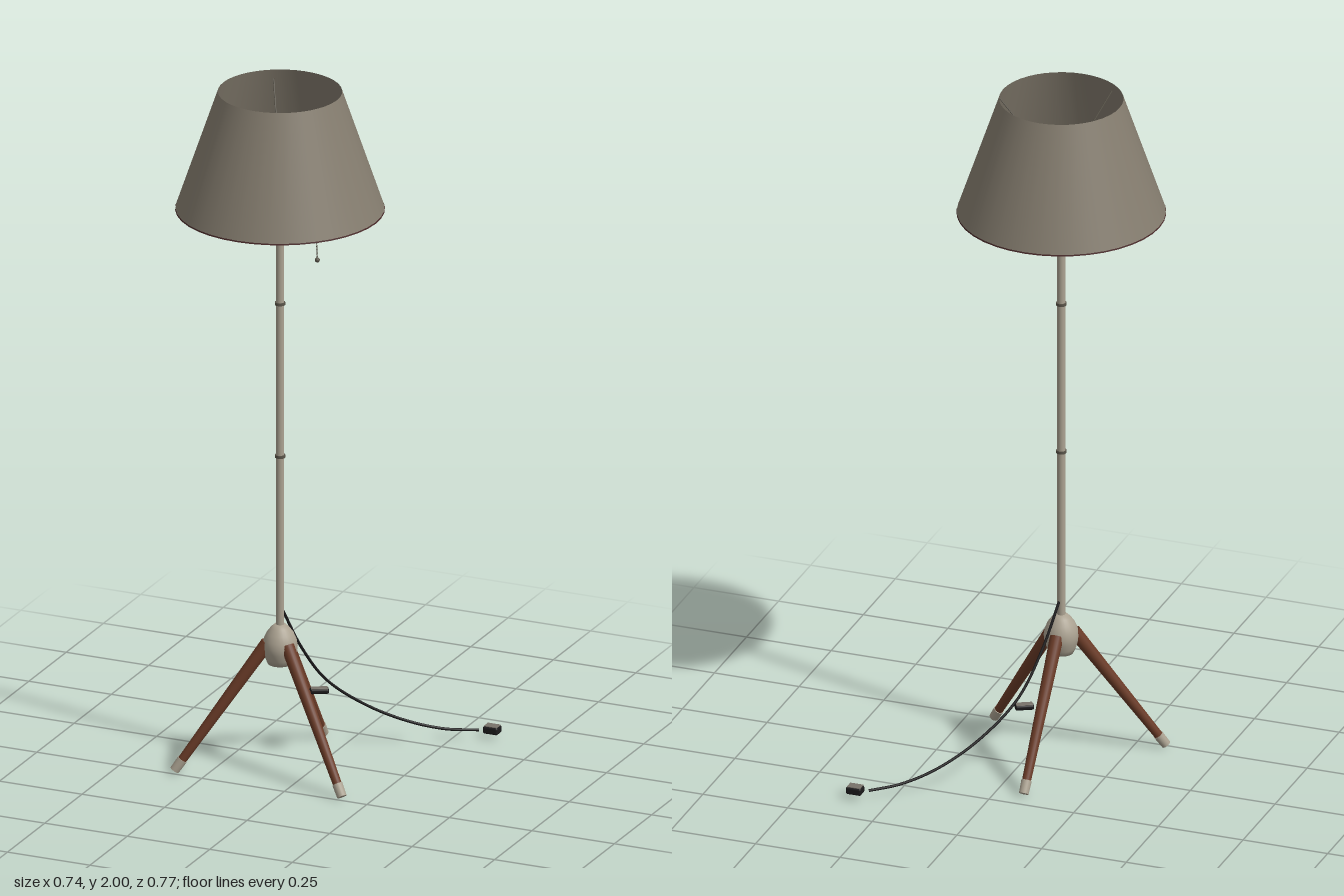
import * as THREE from 'three';
import { RoundedBoxGeometry } from 'three/addons/geometries/RoundedBoxGeometry.js';

const mat = (name, color, side = THREE.FrontSide) => {
  const m = new THREE.MeshStandardMaterial({ color, side });
  m.name = name;
  return m;
};

export function createModel() {
  const fabric = mat('shade fabric', 0x857d6f, THREE.DoubleSide);
  const metal = mat('pale metal', 0xaba291);
  const wood = mat('brown wood', 0x6a3b27);
  const black = mat('black plastic', 0x1b1a1b);
  const red = mat('bulb red', 0x95453f);
  const trim = mat('shade trim', 0x4a2a2a, THREE.DoubleSide);
  const dark = mat('dark metal', 0x5a554a);
  const grey = mat('grey plastic', 0x78736a);

  const model = new THREE.Group();
  model.name = 'floorLamp';
  const lamp = new THREE.Group();
  lamp.name = 'lamp';
  lamp.position.set(-0.083, 0, 0.095);
  model.add(lamp);

  const V = (x, y, z) => new THREE.Vector3(x, y, z);
  const add = (parent, name, geometry, material, x = 0, y = 0, z = 0) => {
    const mesh = new THREE.Mesh(geometry, material);
    mesh.name = name;
    mesh.position.set(x, y, z);
    parent.add(mesh);
    return mesh;
  };
  // Round bar from point a to point b, with a radius at each end
  const bar = (parent, name, a, b, ra, rb, material, sides = 20) => {
    const dir = b.clone().sub(a);
    const mesh = add(parent, name, new THREE.CylinderGeometry(rb, ra, dir.length(), sides), material);
    mesh.position.copy(a).addScaledVector(dir, 0.5);
    mesh.quaternion.setFromUnitVectors(V(0, 1, 0), dir.normalize());
    return mesh;
  };
  const lathe = (points, sides) =>
    new THREE.LatheGeometry(points.map(([r, y]) => new THREE.Vector2(r, y)), sides);

  // Shade, open at both ends, with a thin lower trim
  add(lamp, 'shade', new THREE.CylinderGeometry(0.172, 0.289, 0.343, 40, 1, true), fabric, 0, 1.8285, 0);
  add(lamp, 'shadeTrim', new THREE.CylinderGeometry(0.289, 0.29, 0.004, 40, 1, true), trim, 0, 1.656, 0);

  // Pole with two joints
  add(lamp, 'pole', new THREE.CylinderGeometry(0.0115, 0.0115, 1.31, 20), metal, 0, 1.055, 0);
  for (const y of [0.925, 1.375]) {
    add(lamp, 'poleJoint', new THREE.CylinderGeometry(0.0145, 0.0145, 0.008, 20), dark, 0, y, 0);
  }

  // Socket and bulb
  add(lamp, 'socket', new THREE.CylinderGeometry(0.019, 0.019, 0.09, 20), black, 0, 1.745, 0);
  const bulb = [[0.014, 1.785], [0.016, 1.8], [0.026, 1.817], [0.033, 1.835], [0.034, 1.85],
    [0.031, 1.864], [0.023, 1.875], [0.012, 1.881], [0, 1.883]];
  add(lamp, 'bulb', lathe(bulb, 24), red);

  // Egg-shaped hub
  const hub = [[0, 0.312], [0.034, 0.314], [0.041, 0.33], [0.047, 0.35], [0.049, 0.367], [0.046, 0.385],
    [0.038, 0.404], [0.026, 0.42], [0.016, 0.429], [0, 0.431]];
  add(lamp, 'hub', lathe(hub, 28), metal);

  // Three legs with pale feet, and three wires holding the shade
  for (let i = 0; i < 3; i++) {
    const turn = (i * 2 * Math.PI) / 3;
    const leg = new THREE.Group();
    leg.name = 'leg' + (i + 1);
    leg.rotation.y = turn;
    lamp.add(leg);
    const top = V(0, 0.375, -0.035), end = V(0, 0.009, -0.293);
    const ankle = end.clone().lerp(top, 0.085);
    bar(leg, 'legShaft', top, ankle, 0.019, 0.0125, wood);
    bar(leg, 'foot', ankle, end, 0.0145, 0.0135, metal);

    const x = Math.cos(turn), z = Math.sin(turn);
    bar(lamp, 'shadeWire', V(x * 0.015, 1.785, z * 0.015), V(x * 0.181, 1.97, z * 0.181),
      0.002, 0.002, dark, 8);
  }

  // Pull chain with an end bead
  const chainTop = V(0.1, 1.88, 0), chainEnd = V(0.113, 1.52, 0);
  bar(lamp, 'pullChain', chainTop, chainEnd, 0.0012, 0.0012, dark, 6);
  for (let i = 1; i < 36; i++) {
    const p = chainTop.clone().lerp(chainEnd, i / 36);
    add(lamp, 'chainBead', new THREE.SphereGeometry(0.0024, 8, 6), dark, p.x, p.y, p.z);
  }
  add(lamp, 'chainEnd', new THREE.SphereGeometry(0.007, 14, 10), dark, 0.113, 1.52, 0);

  // Power cord
  const path = new THREE.CatmullRomCurve3([
    V(-0.08, 0.47, 0.086), V(-0.052, 0.34, 0.02), V(-0.012, 0.225, -0.057), V(0.065, 0.13, -0.152),
    V(0.155, 0.065, -0.24), V(0.237, 0.033, -0.305), V(0.314, 0.023, -0.36),
  ]);
  add(model, 'cord', new THREE.TubeGeometry(path, 60, 0.004, 10), black);

  // Cord switch and plug, each a black case with a grey top plate
  const box = (name, w, h, d, x, y, z, turn) => {
    const group = new THREE.Group();
    group.name = name;
    group.position.set(x, y, z);
    group.rotation.y = turn;
    model.add(group);
    add(group, name + 'Case', new RoundedBoxGeometry(w, h, d, 3, 0.006), black);
    add(group, name + 'Top', new RoundedBoxGeometry(w - 0.006, 0.003, d - 0.006, 2, 0.001), grey, 0, h / 2, 0);
  };
  box('cordSwitch', 0.053, 0.015, 0.026, -0.025, 0.196, -0.04, 0.5);
  box('plug', 0.045, 0.022, 0.034, 0.349, 0.026, -0.372, 0);

  return model;
}
